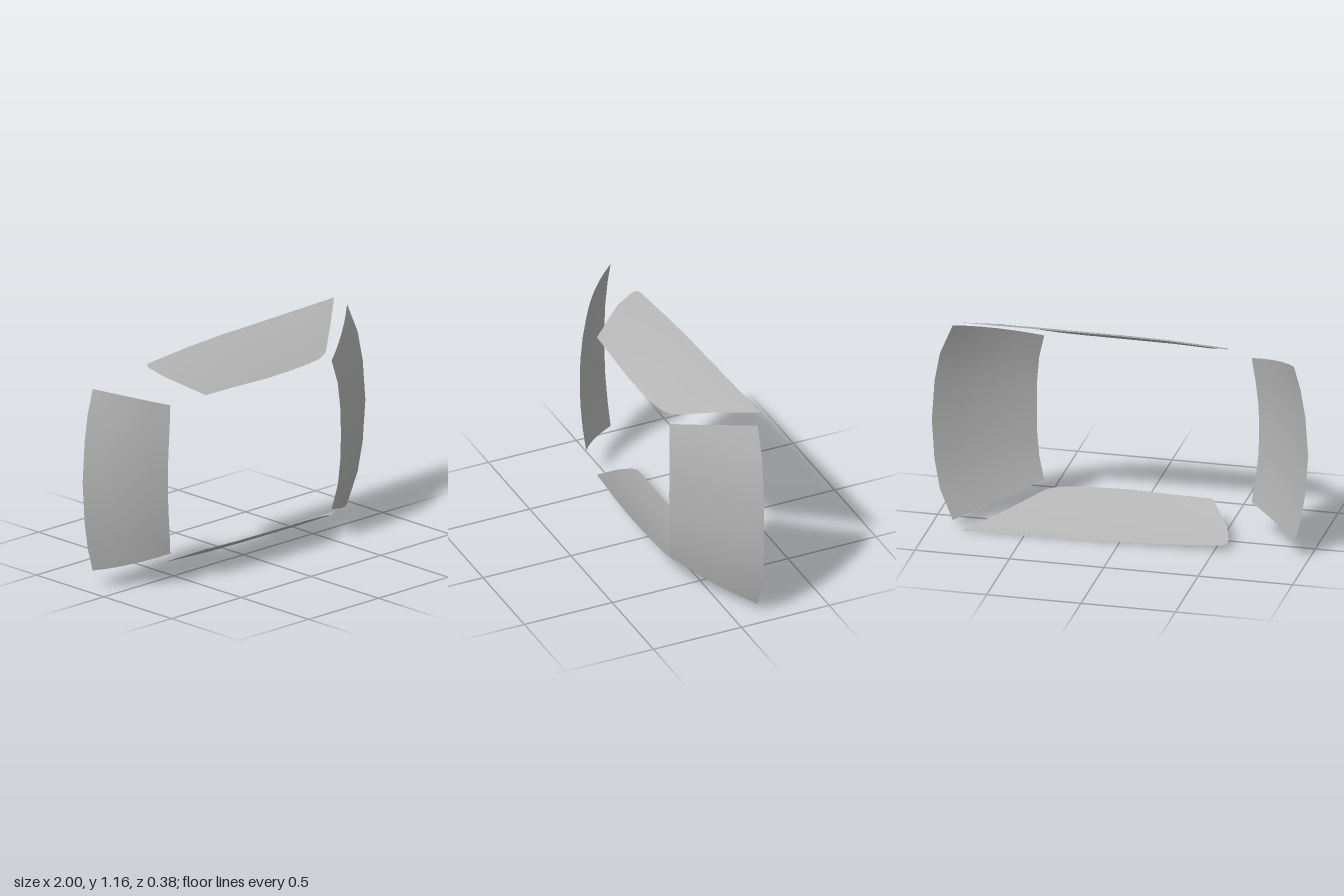
import * as THREE from 'three';

const MID = 0.583; // height of the symmetry plane
const glass = new THREE.MeshStandardMaterial({ color: 0xb4b4b4, side: THREE.DoubleSide });
glass.name = 'grey glass';

// Smooth sheet through a grid of points: point(i, t) for column i and t from 0 to 1
function sheet(name, columns, rows, point, flip) {
  const pos = [], index = [];
  for (let i = 0; i < columns; i++)
    for (let j = 0; j <= rows; j++) pos.push(...point(i, j / rows));
  for (let i = 0; i < columns - 1; i++)
    for (let j = 0; j < rows; j++) {
      const a = i * (rows + 1) + j, b = a + rows + 1;
      if (flip) index.push(a, a + 1, b, b, a + 1, b + 1);
      else index.push(a, b, a + 1, b, b + 1, a + 1);
    }
  const g = new THREE.BufferGeometry();
  g.setAttribute('position', new THREE.Float32BufferAttribute(pos, 3));
  g.setIndex(index);
  g.computeVertexNormals();
  const mesh = new THREE.Mesh(g, glass);
  mesh.name = name;
  return mesh;
}

// End pane lofted between its outer and inner edge; edges run from the middle to one corner
function endPane(name, outer, inner, bulge, flip) {
  const mirror = (edge) => [
    ...edge.slice(1).reverse().map(([x, y, z]) => [x, 2 * MID - y, z]), ...edge];
  const o = mirror(outer), n = mirror(inner);
  return sheet(name, o.length, 6, (i, t) => {
    const p = o[i].map((v, k) => v + (n[i][k] - v) * t);
    const b = 4 * t * (1 - t);
    p[0] += bulge[0] * b;
    p[1] += Math.sign(p[1] - MID) * 0.006 * b * Math.abs(p[1] - MID) / 0.45;
    p[2] += bulge[1] * b;
    return p;
  }, flip);
}

// Side pane: outline as [outer x, outer z, inner x, inner z], bent by a height rule
const SIDE = [
  [-0.565, -0.125, -0.565, -0.105], [-0.555, -0.14, -0.54, -0.02],
  [-0.53, -0.145, -0.42, 0.155], [-0.25, -0.155, -0.21, 0.166],
  [0, -0.165, 0, 0.175], [0.16, -0.169, 0.16, 0.172], [0.3, -0.173, 0.3, 0.166],
  [0.39, -0.176, 0.39, 0.157], [0.46, -0.178, 0.46, 0.134],
  [0.65, -0.184, 0.65, -0.025], [0.83, -0.19, 0.83, -0.186]];

function sidePane(name, top) {
  return sheet(name, SIDE.length, 6, (i, t) => {
    const [xo, zo, xi, zi] = SIDE[i];
    const x = xo + (xi - xo) * t, z = zo + (zi - zo) * t;
    const s = (0.175 - z) / 0.355;
    const y = 1 + 0.16 * s + 0.06 * s * (1 - s) - (x < 0 ? 0.066 * x * x : 0);
    return [x, top ? y : 2 * MID - y, z];
  }, top);
}

export function createModel() {
  const group = new THREE.Group();
  group.name = 'window panes';
  group.add(
    endPane('frontWindow',
      [[1, MID, -0.13], [0.985, 0.8, -0.134], [0.955, 0.96, -0.14], [0.885, 1.125, -0.147]],
      [[0.52, MID, 0.185], [0.518, 0.72, 0.183], [0.505, 0.86, 0.177], [0.475, 0.985, 0.163]],
      [0.008, 0.012], false),
    endPane('rearWindow',
      [[-1, MID, -0.157], [-0.985, 0.8, -0.158], [-0.96, 0.95, -0.16], [-0.925, 1.075, -0.16]],
      [[-0.67, MID, 0.135], [-0.667, 0.72, 0.133], [-0.652, 0.86, 0.127], [-0.635, 0.985, 0.115]],
      [-0.015, 0.012], true),
    sidePane('leftSideWindow', true),
    sidePane('rightSideWindow', false));
  // Winding: turn every pane outward, away from the middle
  return group;
}
